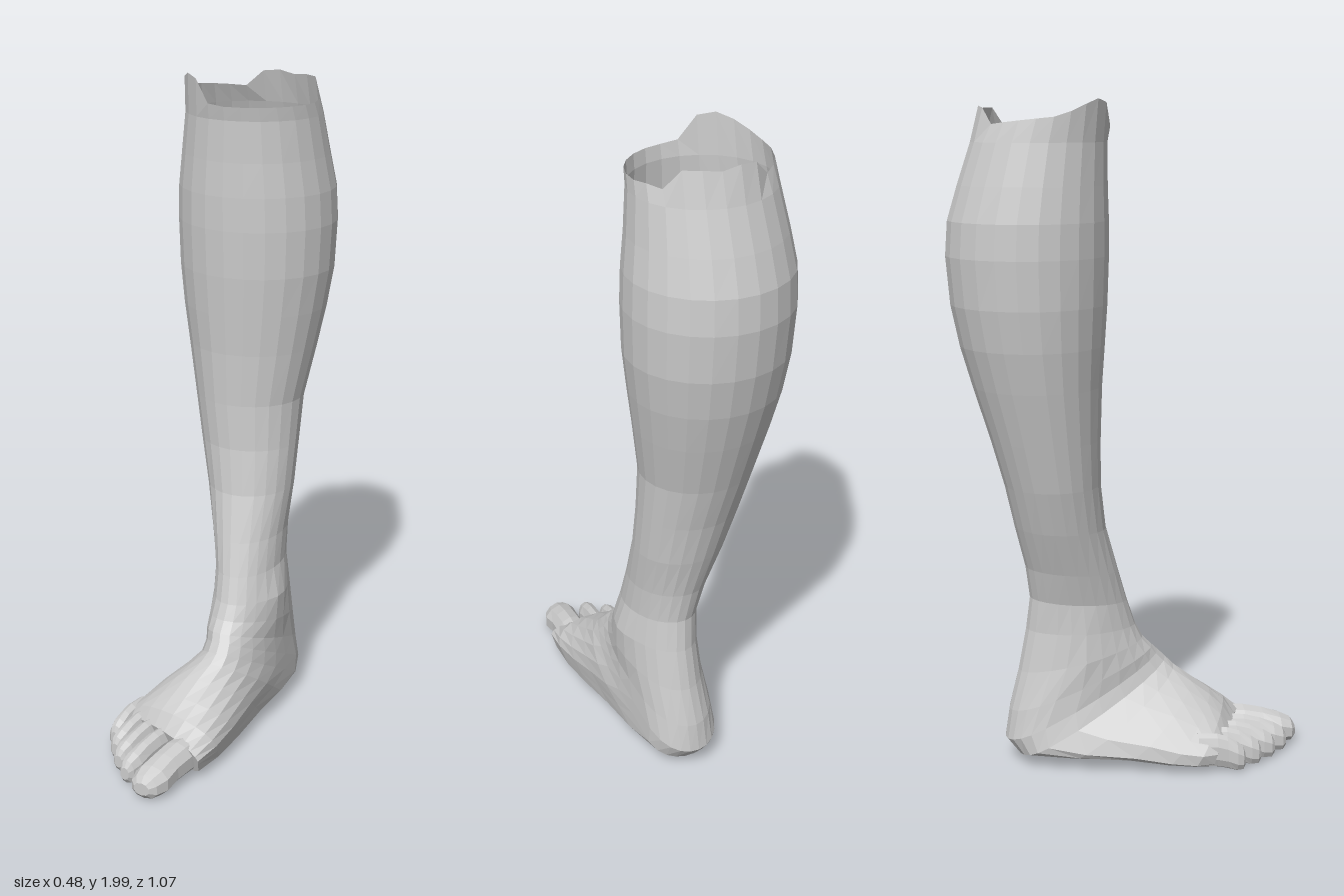
import * as THREE from 'three';

const material = new THREE.MeshStandardMaterial({
  color: 0xcccccc, flatShading: true, side: THREE.DoubleSide,
});

// One closed ring running front/top -> +x -> back/bottom -> -x.
// Spec: xMin, xMax, front y/z, back y/z, flat (squares off the sole),
// wide (where along front-to-back it is widest), ridge (x shift of the front), slant (z per x).
function ring([x0, x1, fy, fz, by, bz, flat = 0, wide = 0.5, ridge = 0, slant = 0], sides) {
  const points = [];
  for (let j = 0; j < sides; j++) {
    const a = (j / sides) * Math.PI * 2;
    const c = Math.cos(a), s = Math.sin(a);
    const drop = c > 0 ? 0 : Math.pow(-c, 1 - 0.6 * flat);
    const t = c > 0 ? wide * (1 - c) : wide + (1 - wide) * drop;
    const x = (x0 + x1) / 2 + (s * (x1 - x0)) / 2 + ridge * Math.max(c, 0);
    points.push(new THREE.Vector3(x, fy + (by - fy) * t, fz + (bz - fz) * t + slant * (x - 0.06)));
  }
  return points;
}

// Skin a list of rings and close the last one.
function loft(rings) {
  const n = rings[0].length;
  const points = rings.flat();
  const index = [];
  for (let i = 0; i < rings.length - 1; i++) {
    for (let j = 0; j < n; j++) {
      const a = i * n + j, b = i * n + ((j + 1) % n);
      index.push(a, a + n, b, b, a + n, b + n);
    }
  }
  const last = rings[rings.length - 1];
  const centre = last.reduce((sum, p) => sum.add(p), new THREE.Vector3()).divideScalar(n);
  const start = (rings.length - 1) * n;
  points.push(centre);
  for (let j = 0; j < n; j++) index.push(points.length - 1, start + ((j + 1) % n), start + j);
  const geometry = new THREE.BufferGeometry().setFromPoints(points);
  geometry.setIndex(index);
  geometry.computeVertexNormals();
  return geometry;
}

function part(name, geometry) {
  const mesh = new THREE.Mesh(geometry, material);
  mesh.name = name;
  return mesh;
}

export function createModel() {
  const model = new THREE.Group();
  model.name = 'lowerLeg';

  // Calf, shin and ankle: level rings from the knee down
  const shin = [
    [-0.20, 0.20, 1.95, -0.06, 1.95, -0.435],
    [-0.205, 0.205, 1.88, -0.068, 1.88, -0.46],
    [-0.225, 0.22, 1.76, -0.068, 1.76, -0.50],
    [-0.24, 0.235, 1.66, -0.065, 1.66, -0.53],
    [-0.243, 0.24, 1.56, -0.065, 1.56, -0.537],
    [-0.237, 0.235, 1.42, -0.07, 1.42, -0.525],
    [-0.222, 0.218, 1.30, -0.078, 1.30, -0.50],
    [-0.20, 0.197, 1.18, -0.086, 1.18, -0.465],
    [-0.168, 0.168, 1.02, -0.09, 1.02, -0.415],
    [-0.14, 0.165, 0.88, -0.088, 0.88, -0.375],
    [-0.105, 0.162, 0.74, -0.07, 0.75, -0.345],
    [-0.065, 0.155, 0.60, -0.03, 0.62, -0.312],
    [-0.04, 0.157, 0.50, 0.0, 0.52, -0.298],
  ];
  // Foot: rings fan round the heel, then run forward to the toes
  const foot = [
    [-0.038, 0.168, 0.42, 0.027, 0.42, -0.31, 0, 0.5],
    [-0.045, 0.172, 0.375, 0.05, 0.29, -0.335, 0.2, 0.5],
    [-0.055, 0.168, 0.345, 0.08, 0.17, -0.365, 0.5, 0.53, 0.01],
    [-0.06, 0.168, 0.325, 0.10, 0.08, -0.378, 0.7, 0.58, 0.02],
    [-0.075, 0.168, 0.30, 0.125, 0.035, -0.34, 0.9, 0.64, 0.03],
    [-0.11, 0.170, 0.275, 0.15, 0.03, -0.20, 1, 0.68, 0.04],
    [-0.15, 0.165, 0.24, 0.20, 0.03, -0.04, 1, 0.7, 0.045],
    [-0.18, 0.163, 0.20, 0.26, 0.02, 0.10, 1, 0.7, 0.045, 0.1],
    [-0.195, 0.16, 0.165, 0.31, 0.015, 0.22, 1, 0.65, 0.04, 0.25],
    [-0.187, 0.145, 0.12, 0.355, 0.015, 0.32, 1, 0.5, 0.03, 0.42],
  ];
  const sides = 24;
  const rings = [...shin, ...foot].map((spec) => ring(spec, sides));

  // Torn upper rim
  const rim = [1.92, 1.92, 1.92, 1.92, 1.92, 1.92, 1.92, 1.925, 1.92, 1.975, 1.975, 1.97,
    1.98, 1.975, 1.93, 1.935, 1.94, 1.945, 1.95, 1.965, 1.985, 2.0, 1.99, 1.925];
  rings[0].forEach((p, j) => { p.y = rim[j]; });

  // Ankle bones: push nearby points outward
  const bones = [[0.165, 0.40, -0.11, 0.014], [-0.04, 0.37, -0.15, -0.016]];
  for (const p of rings.flat()) {
    for (const [x, y, z, push] of bones) {
      const d2 = (p.x - x) ** 2 + (p.y - y) ** 2 + (p.z - z) ** 2;
      p.x += push * Math.exp(-d2 / 0.004);
    }
  }
  model.add(part('legAndFoot', loft(rings)));

  // Toes: base x/z, tip x/z, half width, height
  const toes = [
    ['bigToe', 0.095, 0.27, 0.045, 0.535, 0.056, 0.125],
    ['secondToe', 0.005, 0.27, -0.04, 0.485, 0.031, 0.125],
    ['middleToe', -0.05, 0.24, -0.092, 0.435, 0.029, 0.125],
    ['fourthToe', -0.098, 0.21, -0.135, 0.38, 0.028, 0.125],
    ['littleToe', -0.15, 0.18, -0.172, 0.322, 0.027, 0.125],
  ];
  // Along the toe: position, width, top and bottom as shares of the height
  const steps = [
    [0, 0.9, 1, 0.16], [0.4, 0.92, 1, 0.16], [0.62, 0.9, 0.92, 0.12],
    [0.82, 1, 0.8, 0.06], [0.95, 0.78, 0.68, 0.08], [1, 0.45, 0.52, 0.2],
  ];
  for (const [name, bx, bz, tx, tz, w, h] of toes) {
    const toeRings = steps.map(([t, k, top, bottom]) => {
      const x = bx + (tx - bx) * t, z = bz + (tz - bz) * t;
      return ring([x - w * k, x + w * k, h * top, z, h * bottom, z, 0.5], 10);
    });
    model.add(part(name, loft(toeRings)));
  }
  return model;
}
